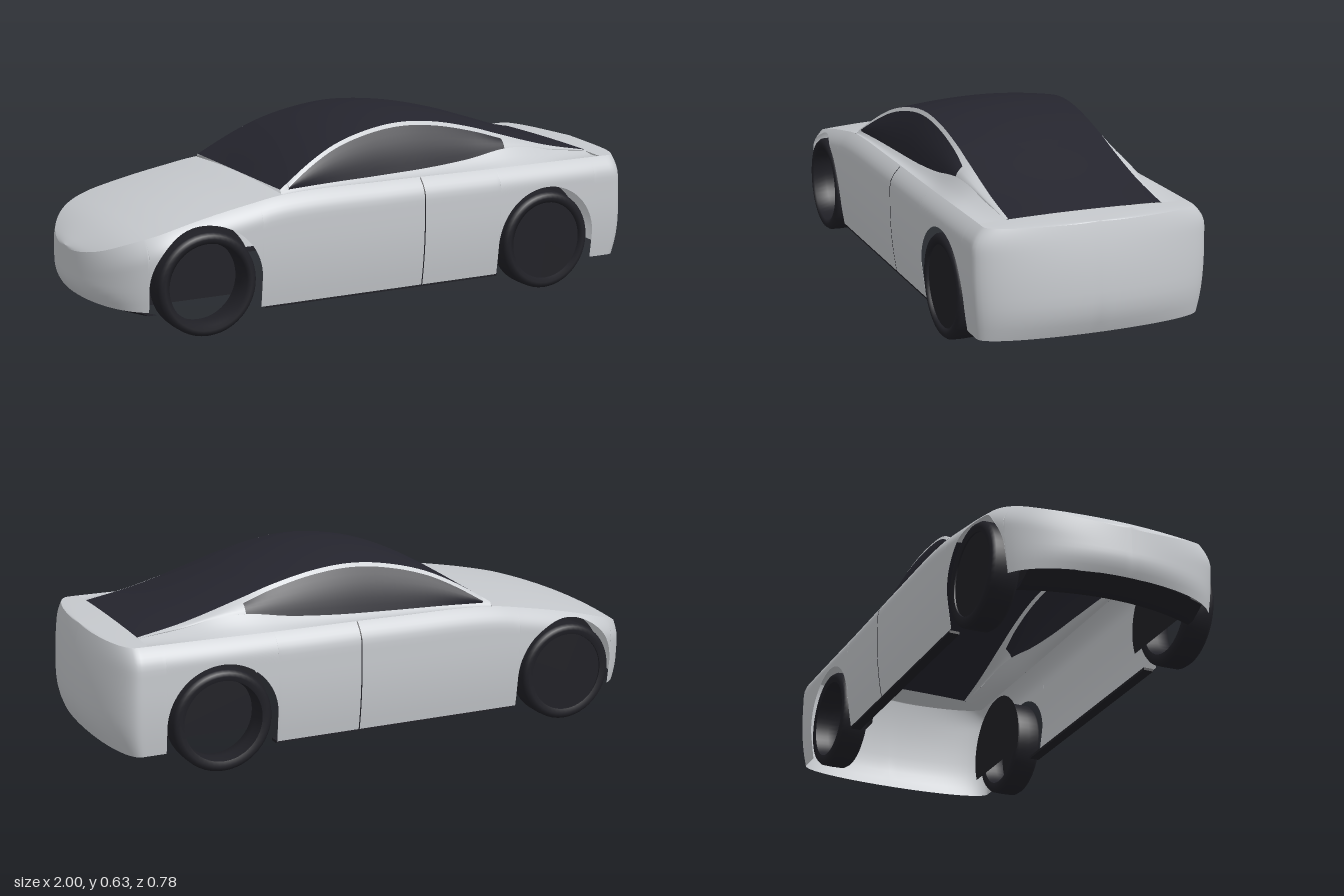
import * as THREE from 'three';

const WHEEL_X = [-0.66, 0.62], ARCH_R = 0.192, ARCH_Y = 0.17;

// Smooth curve through [x, value] pairs, clamped at both ends
function through(pts) {
  const xs = pts.map(p => p[0]), ys = pts.map(p => p[1]);
  const c = new THREE.CubicInterpolant(xs, ys, 1, new Float32Array(1));
  return x => c.evaluate(Math.min(xs[xs.length - 1], Math.max(xs[0], x)))[0];
}

// Body lines along the length
const shoulderY = through([[-1, .25], [-.98, .263], [-.9, .31], [-.8, .345], [-.66, .38], [-.5, .411], [-.38, .43], [0, .438], [.4, .438], [.8, .441], [1, .441]]);
const centreY = through([[-1, .258], [-.98, .275], [-.9, .325], [-.8, .362], [-.66, .397], [-.5, .425], [-.38, .441], [.86, .449], [1, .445]]);
const beltY = through([[-.38, .44], [-.2, .446], [0, .45], [.2, .458], [.35, .47], [.5, .491], [.6, .486], [.7, .465], [.86, .445]]);
const beltZ = through([[-.38, .335], [-.2, .325], [0, .315], [.2, .31], [.5, .293], [.7, .275], [.86, .262]]);
const railY = through([[-.38, .443], [-.25, .52], [-.15, .565], [0, .602], [.12, .612], [.25, .6], [.4, .566], [.5, .535], [.7, .478], [.86, .447]]);
const railZ = through([[-.38, .331], [-.25, .3], [-.15, .28], [0, .262], [.12, .255], [.5, .25], [.86, .256]]);
const roofY = through([[-.38, .443], [-.3, .502], [-.2, .561], [-.1, .601], [0, .625], [.12, .635], [.25, .625], [.4, .592], [.5, .561], [.7, .496], [.86, .45]]);

// Half width in plan, rounded at nose and tail
function halfWidth(x) {
  const n = Math.max(0, (-x - .75) / .25), t = Math.max(0, (x - .9) / .1);
  return .39 * Math.sqrt(Math.max(0, 1 - Math.pow(n, 2.3) - t * t));
}

function sideZ(x, y) {
  const top = Math.max(0, 1 - (shoulderY(x) - y) / .07), low = Math.max(0, (.3 - y) / .23);
  return halfWidth(x) * (1 - .1 * top * top - .055 * low * low);
}

// Lower edge of the sides, with wheel arches
function lowerY(x) {
  for (const cx of WHEEL_X) {
    const d = Math.abs(x - cx);
    if (d < ARCH_R) return ARCH_Y + Math.sqrt(ARCH_R * ARCH_R - d * d);
  }
  return x < -.66 ? .095 : x > .62 ? .086 : .07;
}

// Tucks the bumpers in towards top and bottom
function warp(x, y, z) {
  if (x > .8) {
    const k = (x - .8) / .2, d = y > .2 ? (y - .2) / .24 : (.2 - y) / .11;
    x -= .03 * k * k * d * d;
  } else if (x < -.8) {
    const k = (-.8 - x) / .2, d = Math.max(0, (.16 - y) / .07);
    x += .03 * k * k * d * d;
  }
  return [x, y, z];
}

// Surface from points f(u, v) over two lists of parameters
function surface(us, vs, f, flip = false) {
  const pos = [], idx = [], n = vs.length;
  us.forEach(u => vs.forEach(v => pos.push(...f(u, v))));
  for (let i = 0; i < us.length - 1; i++) for (let j = 0; j < n - 1; j++) {
    const a = i * n + j, b = a + n, c = b + 1, d = a + 1;
    if (flip) idx.push(a, c, b, a, d, c);
    else idx.push(a, b, c, a, c, d);
  }
  const g = new THREE.BufferGeometry();
  g.setAttribute('position', new THREE.Float32BufferAttribute(pos, 3));
  g.setIndex(idx);
  g.computeVertexNormals();
  return g;
}

const range = (a, b, n) => Array.from({ length: n + 1 }, (_, i) => a + (b - a) * i / n);
const lerp = THREE.MathUtils.lerp;

export function createModel() {
  const car = new THREE.Group();
  car.name = 'car';
  const mat = (name, color) => {
    const m = new THREE.MeshStandardMaterial({ color, side: THREE.DoubleSide });
    m.name = name;
    return m;
  };
  const silver = mat('silver paint', 0xc6c9cd);
  const glass = mat('dark glass', 0x25252e);
  const rubber = mat('black rubber', 0x202026);
  const add = (name, geo, material, parent = car) => {
    const m = new THREE.Mesh(geo, material);
    m.name = name;
    parent.add(m);
    return m;
  };

  // Stations: dense at nose, tail and around the arches
  let xs = range(0, Math.PI, 110).map(a => -Math.cos(a));
  for (const cx of WHEEL_X) {
    xs = xs.filter(x => Math.abs(x - cx) > ARCH_R + .001);
    xs.push(cx - ARCH_R - .0004, cx + ARCH_R + .0004);
    range(0, Math.PI, 36).forEach(a => xs.push(cx - (ARCH_R - .0002) * Math.cos(a)));
  }
  xs.sort((a, b) => a - b);

  for (const s of [1, -1]) {
    const side = s > 0 ? 'left' : 'right', flip = s < 0;
    // Side panel with open wheel arches
    add(side + 'BodySide', surface(xs, range(0, 1, 18), (x, v) => {
      const y = lerp(lowerY(x), shoulderY(x), 1 - (1 - v) * (1 - v));
      return warp(x, y, s * sideZ(x, y));
    }, flip), silver);

    // Shoulder up to the window line
    add(side + 'Shoulder', surface(range(-.38, .86, 50), range(0, 1, 5), (x, v) => {
      const y0 = shoulderY(x), sag = -.006 * Math.sin(Math.PI * v);
      return warp(x, lerp(y0, beltY(x), v) + sag, s * lerp(sideZ(x, y0), beltZ(x), v));
    }, flip), silver);

    // Side window, its upper rail and the rear pillar
    const upper = (x, v) => [x, lerp(beltY(x), railY(x), v),
      s * (lerp(beltZ(x), railZ(x), v) + .008 * Math.sin(Math.PI * v))];
    const headV = x => Math.max(.3, 1 - .013 / Math.max(.001, railY(x) - beltY(x)));
    const cabin = range(-.35, .5, 40);
    add(side + 'Window', surface(cabin, range(0, 1, 6), (x, v) => upper(x, v * headV(x)), flip), glass);
    add(side + 'RoofRail', surface(cabin, range(0, 1, 2), (x, v) => upper(x, lerp(headV(x), 1, v)), flip), silver);
    add(side + 'FrontPillar', surface(range(-.38, -.35, 3), [0, 1], upper, flip), silver);
    add(side + 'RearPillar', surface(range(.5, .86, 16), range(0, 1, 4), upper, flip), silver);

    // Door gap and sill strip
    add(side + 'DoorGap', surface([.129, .133], range(.07, .437, 16),
      (x, y) => [x, y, s * (sideZ(x, y) + .0012)], flip), rubber);
    const sill = add(side + 'Sill', new THREE.BoxGeometry(.88, .009, .035), rubber);
    sill.position.set(-.01, .068, s * .35);
  }

  // Bonnet and rear deck
  const lid = (x, t) => {
    const y0 = shoulderY(x);
    return warp(x, lerp(centreY(x), y0, t * t), t * sideZ(x, y0));
  };
  const across = range(1, -1, 24);
  add('bonnet', surface(xs.filter(x => x < -.38).concat(-.38), across, lid), silver);
  add('rearDeck', surface([.86, ...xs.filter(x => x > .86)], across, lid), silver);

  // Windscreen, roof and rear window in one sweep
  add('roofGlass', surface(range(-.38, .86, 60), across,
    (x, t) => [x, lerp(roofY(x), railY(x), t * t), t * railZ(x)]), glass);

  // Lip under the nose
  add('frontLip', surface(range(-.3, .3, 20), range(0, 1, 3), (z, v) =>
    [-.965 + .8 * z * z + .09 * v, lerp(.1, .064 + .06 * z * z, Math.min(1, v * 1.5)), z]), rubber);

  // Wheels: two diagonal corners carry a closed disc, the others are open
  const tyreProfile = [[.135, -.045], [.15, -.05], [.162, -.047], [.17, -.036], [.171, 0],
    [.17, .036], [.162, .047], [.15, .05], [.135, .045], [.13, 0], [.135, -.045]]
    .map(p => new THREE.Vector2(p[0], p[1]));
  const tyre = new THREE.LatheGeometry(tyreProfile, 48).rotateX(Math.PI / 2);
  const disc = new THREE.CylinderGeometry(.137, .137, .008, 48).rotateX(Math.PI / 2);
  // Wheel well plate, cut flat below the axle
  const cut = Math.asin(.07 / .195);
  const plate = new THREE.Shape();
  plate.absarc(0, 0, .195, -cut, Math.PI + cut, false);
  plate.closePath();
  const plateGeo = new THREE.ShapeGeometry(plate, 40);

  WHEEL_X.forEach((x, i) => [1, -1].forEach(s => {
    const wheel = new THREE.Group();
    wheel.name = (i ? 'rear' : 'front') + (s > 0 ? 'Left' : 'Right') + 'Wheel';
    wheel.position.set(x, .171, s * .34);
    add('tyre', tyre, rubber, wheel);
    if ((i === 1) === (s > 0)) add('wheelDisc', disc, rubber, wheel).position.z = s * .036;
    add('wheelWell', plateGeo, rubber, wheel).position.z = -s * .055;
    car.add(wheel);
  }));

  return car;
}
